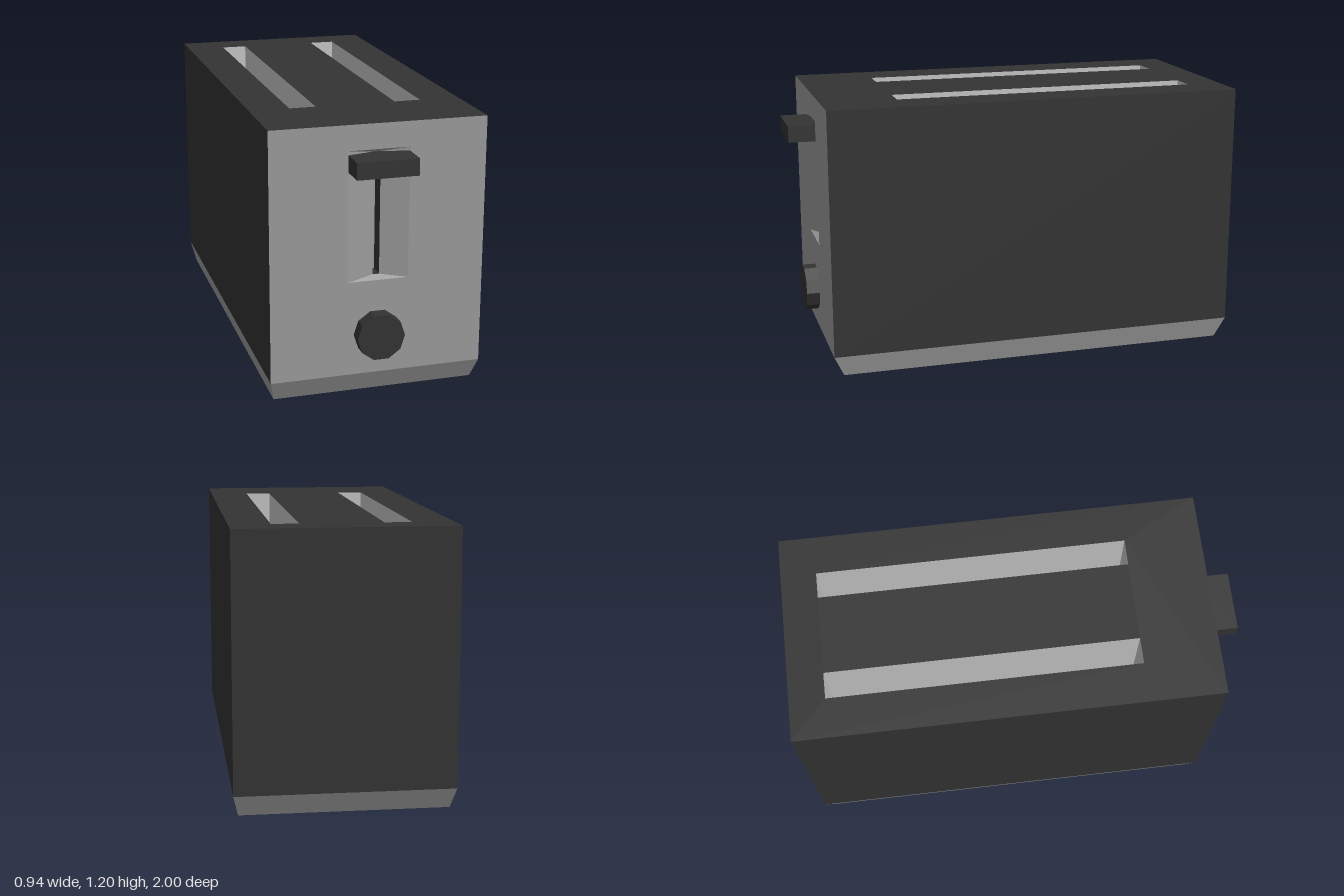
import * as THREE from 'three';

const dark = new THREE.MeshStandardMaterial({ color: 0x343434 });
dark.name = 'charcoal';
const grey = new THREE.MeshStandardMaterial({ color: 0x9d9d9d });
grey.name = 'midGrey';
const light = new THREE.MeshStandardMaterial({ color: 0xc8c8c8 });
light.name = 'lightGrey';

// Main dimensions
const W = 0.47, TOP = 1.2, SEAM = 0.095, FRONT = 0.88, BACK = -1;

// Corner loops, counter-clockwise as seen from above or from the front
const flat = (x0, x1, z0, z1, y) => [[x0, y, z1], [x1, y, z1], [x1, y, z0], [x0, y, z0]];
const upright = (w, y0, y1, z) => [[-w, y0, z], [w, y0, z], [w, y1, z], [-w, y1, z]];

// Flat-shaded quads from corner lists
function quads(list) {
  const pos = list.flatMap(([a, b, c, d]) => [a, b, c, a, c, d].flat());
  const g = new THREE.BufferGeometry();
  g.setAttribute('position', new THREE.Float32BufferAttribute(pos, 3));
  g.computeVertexNormals();
  return g;
}

// Walls joining two loops; first = 1 leaves out the front wall
function walls(a, b, first = 0) {
  const list = [];
  for (let i = first; i < 4; i++) {
    const j = (i + 1) % 4;
    list.push([a[i], a[j], b[j], b[i]]);
  }
  return list;
}

// Rectangular panel with rectangular holes, each [x0, x1, y0, y1]
function panel(outer, holes) {
  const trace = (path, [x0, x1, y0, y1]) =>
    path.moveTo(x0, y0).lineTo(x1, y0).lineTo(x1, y1).lineTo(x0, y1).lineTo(x0, y0);
  const shape = trace(new THREE.Shape(), outer);
  for (const h of holes) shape.holes.push(trace(new THREE.Path(), h));
  return new THREE.ShapeGeometry(shape);
}

export function createModel() {
  const model = new THREE.Group();
  model.name = 'toaster';
  const add = (name, geometry, material) => {
    const mesh = new THREE.Mesh(geometry, material);
    mesh.name = name;
    model.add(mesh);
    return mesh;
  };

  // Tapered base with its underside
  const foot = flat(-0.448, 0.448, -0.955, 0.835, 0);
  const seam = flat(-W, W, BACK, FRONT, SEAM);
  add('base', quads([...walls(foot, seam), [...foot].reverse()]), grey);

  // Sides and back of the shell
  add('shell', quads(walls(seam, flat(-W, W, BACK, FRONT, TOP), 1)), dark);

  // Top with two bread slots
  const sx0 = 0.177, sx1 = 0.294, sz0 = -0.842, sz1 = 0.54;
  const top = panel([-W, W, -FRONT, -BACK], [
    [-sx1, -sx0, -sz1, -sz0],
    [sx0, sx1, -sz1, -sz0],
  ]);
  top.rotateX(-Math.PI / 2);
  add('topPanel', top, dark).position.y = TOP;

  for (const [name, x0, x1] of [['leftSlot', sx0, sx1], ['rightSlot', -sx1, -sx0]]) {
    const floor = flat(x0, x1, sz0, sz1, 0.3);
    add(name, quads([...walls(flat(x0, x1, sz0, sz1, TOP), floor), floor]), light);
  }

  // Front panel with the shallow lever recess
  const rw = 0.133, r0 = 0.517, r1 = 1.09;
  add('frontPanel', panel([-W, W, SEAM, TOP], [[-rw, rw, r0, r1]]), grey).position.z = FRONT;
  const slit = upright(0.0145, 0.533, 1.073, FRONT - 0.03);
  add('leverRecess', quads(walls(upright(rw, r0, r1, FRONT), slit)), grey);

  // Narrow slit the lever slides in
  const slitBack = upright(0.0145, 0.533, 1.073, FRONT - 0.1);
  add('leverSlit', quads(walls(slit, slitBack)), dark);
  add('slitBack', quads([slitBack]), grey);

  // Lever, reaching back into the recess
  add('lever', new THREE.BoxGeometry(rw * 2, 0.073, 0.15), dark).position.set(0, 1.0365, 0.925);

  // Ten-sided browning knob
  const knob = new THREE.CylinderGeometry(0.105, 0.105, 0.06, 10).toNonIndexed();
  knob.rotateY(Math.PI / 2).rotateX(Math.PI / 2);
  knob.computeVertexNormals();
  add('knob', knob, dark).position.set(0, 0.278, 0.91);

  return model;
}
